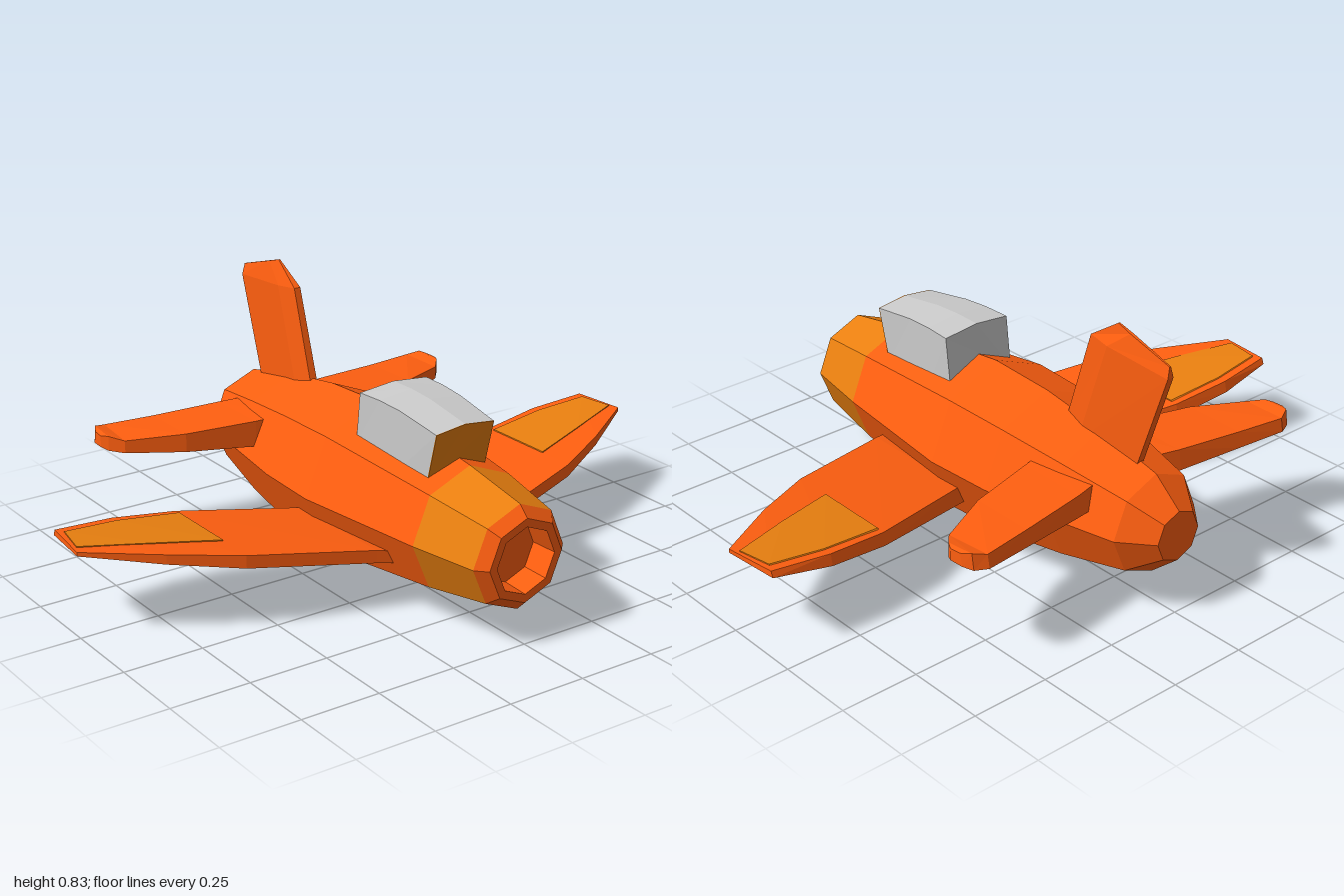
import * as THREE from 'three';

const ORANGE = 0xff5f10, AMBER = 0xea8010, GREY = 0xcccccc;
const mat = (color) => new THREE.MeshStandardMaterial({ color, flatShading: true, side: THREE.DoubleSide });

// Join matching cross-sections into a closed faceted solid; faces are turned outward.
function loft(sections) {
  const tris = [], n = sections[0].length, last = sections.length - 1;
  for (let s = 0; s < last; s++) {
    for (let i = 0; i < n; i++) {
      const j = (i + 1) % n, a = sections[s], b = sections[s + 1];
      tris.push([a[i], a[j], b[j]], [a[i], b[j], b[i]]);
    }
  }
  for (let i = 1; i < n - 1; i++) {
    tris.push([sections[0][0], sections[0][i + 1], sections[0][i]]);
    tris.push([sections[last][0], sections[last][i], sections[last][i + 1]]);
  }
  const v = tris.map((t) => t.map((p) => new THREE.Vector3(...p)));
  const volume = v.reduce((sum, [a, b, c]) => sum + a.dot(b.clone().cross(c)), 0);
  const points = v.flatMap(([a, b, c]) => (volume < 0 ? [a, c, b] : [a, b, c]));
  const geometry = new THREE.BufferGeometry().setFromPoints(points);
  geometry.computeVertexNormals();
  return geometry;
}

// Wing section: [x lead, x trail, z lead, z trail, top lead, bottom lead, top trail, bottom trail]
const wingSection = (side) => ([xl, xt, zl, zt, tl, bl, tt, bt]) => [
  [side * xl, tl, zl], [side * xt, tt, zt + 0.008], [side * xt, bt, zt], [side * xl, bl, zl],
];

export function createModel() {
  const model = new THREE.Group();
  const add = (name, geometry, color) => {
    const mesh = new THREE.Mesh(geometry, mat(color));
    mesh.name = name;
    model.add(mesh);
  };

  // Eight-sided hull: [radius, z] profiles turned about the long axis
  const hull = (name, profile, color) => {
    const geometry = new THREE.LatheGeometry(profile.map(([r, z]) => new THREE.Vector2(r, z)), 8);
    geometry.rotateX(Math.PI / 2).translate(0, 0.26, 0);
    add(name, geometry, color);
  };
  hull('fuselage', [[0, -0.75], [0.08, -0.75], [0.16, -0.655], [0.21, -0.43],
    [0.245, -0.2], [0.256, 0.03], [0.2, 0.49]], ORANGE);
  hull('noseBand', [[0.2, 0.49], [0.16, 0.715]], AMBER);
  hull('intake', [[0.16, 0.715], [0.128, 0.748], [0.102, 0.748], [0.098, 0.66], [0, 0.66]], ORANGE);

  for (const side of [1, -1]) {
    const label = side > 0 ? 'left' : 'right';

    // Main wings sweep upward to thin tips
    add(label + 'Wing', loft([
      [0.14, 0.14, 0.37, -0.04, 0.185, 0.15, 0.18, 0.135],
      [0.22, 0.22, 0.345, -0.06, 0.2, 0.16, 0.195, 0.142],
      [0.59, 0.59, 0.235, -0.17, 0.24, 0.2, 0.237, 0.197],
      [0.79, 0.79, 0.135, -0.19, 0.258, 0.228, 0.258, 0.222],
      [1.0, 0.98, 0.005, -0.175, 0.272, 0.26, 0.274, 0.255],
    ].map(wingSection(side))), ORANGE);

    // Painted panel on the outer wing
    add(label + 'WingPanel', loft([
      [0.59, 0.59, 0.11, -0.145, 0.243, 0.235, 0.241, 0.233],
      [0.79, 0.79, 0.045, -0.16, 0.261, 0.25, 0.261, 0.25],
      [0.985, 0.965, -0.025, -0.145, 0.275, 0.265, 0.276, 0.265],
    ].map(wingSection(side))), AMBER);

    // Tailplanes with blunt rounded tips
    add(label + 'Tailplane', loft([
      [0.1, 0.1, -0.31, -0.54, 0.39, 0.295, 0.385, 0.31],
      [0.2, 0.2, -0.328, -0.56, 0.383, 0.3, 0.38, 0.315],
      [0.42, 0.42, -0.378, -0.59, 0.374, 0.315, 0.372, 0.322],
      [0.59, 0.58, -0.455, -0.613, 0.365, 0.325, 0.37, 0.328],
      [0.625, 0.62, -0.495, -0.595, 0.375, 0.328, 0.38, 0.33],
      [0.638, 0.636, -0.52, -0.565, 0.372, 0.335, 0.374, 0.335],
    ].map(wingSection(side))), ORANGE);
  }

  // Tail fin: [half width, z lead, y lead, z trail, y trail], closing to a ridge
  add('tailFin', loft([
    [0.025, -0.285, 0.42, -0.575, 0.38],
    [0.022, -0.39, 0.762, -0.695, 0.735],
    [0.005, -0.49, 0.83, -0.692, 0.77],
  ].map(([w, zl, yl, zt, yt]) => [
    [-w * 0.5, yl, zl], [w * 0.5, yl, zl], [w, yl + (yt - yl) * 0.25, zl + (zt - zl) * 0.25],
    [w * 0.5, yt, zt], [-w * 0.5, yt, zt], [-w, yl + (yt - yl) * 0.25, zl + (zt - zl) * 0.25],
  ])), ORANGE);

  // Cockpit canopy: [half width, top z, top y, bottom z, bottom y] from rear to front
  const canopy = [
    [0.12, 0.12, 0.605, 0.1, 0.43],
    [0.115, 0.21, 0.607, 0.2, 0.42],
    [0.11, 0.3, 0.602, 0.3, 0.41],
    [0.102, 0.464, 0.577, 0.42, 0.4],
  ].map(([w, zt, yt, zb, yb]) => [
    [-w, yb, zb], [-w, yt - 0.012, zt], [0, yt, zt], [w, yt - 0.012, zt], [w, yb, zb],
  ]);
  add('canopy', loft(canopy), GREY);

  // Windscreen panel covering the front of the canopy
  const front = canopy[3];
  add('windscreen', loft([front, front.map(([x, y, z]) => [x, y, z + 0.003])]), AMBER);

  return model;
}
